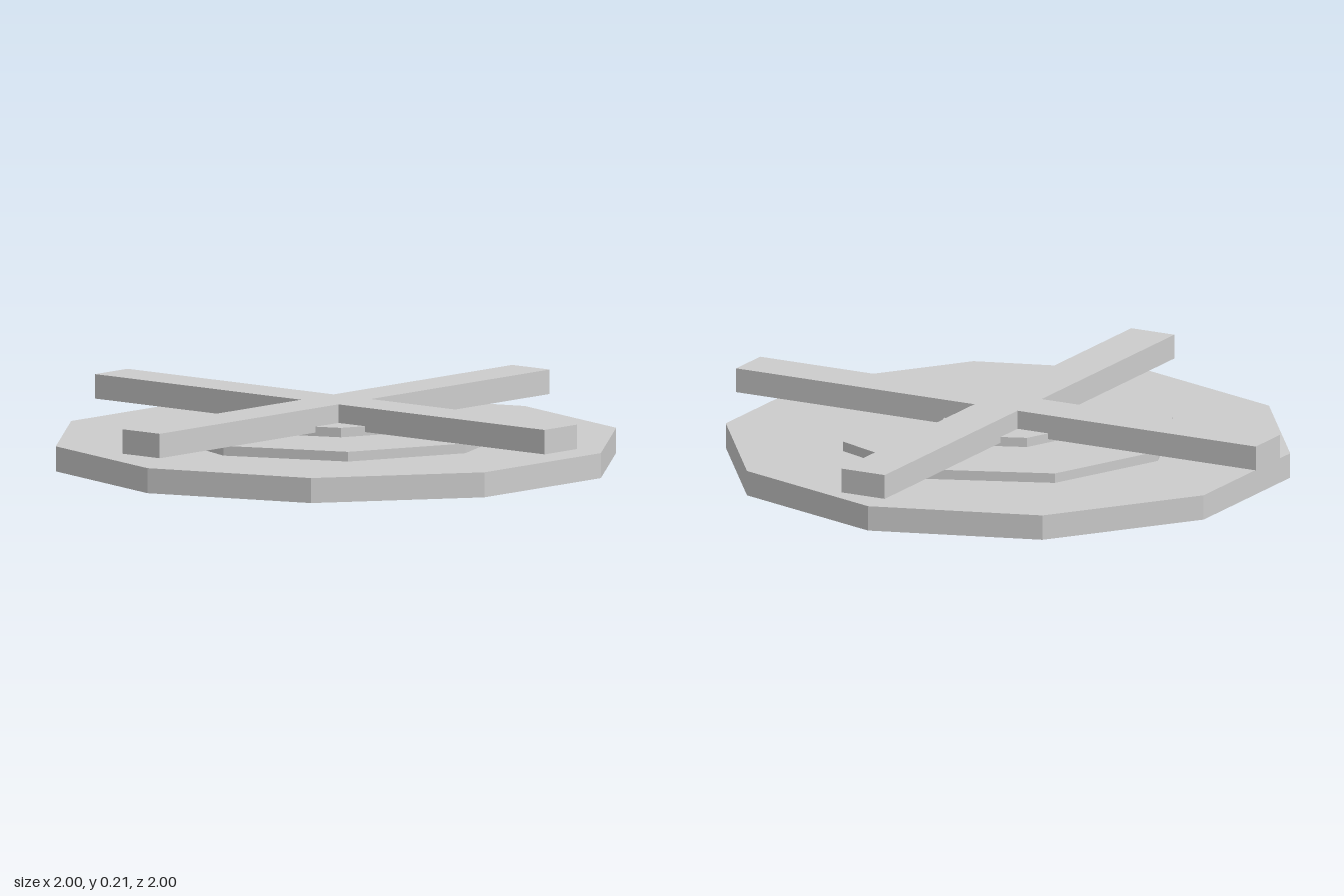
import * as THREE from 'three';

export function createModel() {
  const group = new THREE.Group();
  group.name = 'tieredDiscWithCross';
  const grey = new THREE.MeshStandardMaterial({ color: 0xcccccc, flatShading: true });
  grey.name = 'light grey';

  const add = (name, geometry, y) => {
    const mesh = new THREE.Mesh(geometry, grey);
    mesh.name = name;
    mesh.position.y = y;
    group.add(mesh);
  };

  // Stacked polygonal tiers, each with a corner on the z axis
  const tiers = [
    ['base', 0.967, 10, 0, 0.085],
    ['middleStep', 0.577, 8, 0.085, 0.118],
    ['hub', 0.235, 8, 0.118, 0.15],
  ];
  for (const [name, radius, sides, bottom, top] of tiers) {
    add(name, new THREE.CylinderGeometry(radius, radius, top - bottom, sides), (bottom + top) / 2);
  }

  // Cross of two equal bars, raised clear of the middle step
  const w = 0.083;
  const points = [];
  for (let i = 0; i < 4; i++) {
    for (const [x, y] of [[1, -w], [1, w], [w, w]]) {
      points.push(new THREE.Vector2(x, y).rotateAround(new THREE.Vector2(), i * Math.PI / 2));
    }
  }
  const cross = new THREE.ExtrudeGeometry(new THREE.Shape(points), { depth: 0.083, bevelEnabled: false });
  cross.rotateX(-Math.PI / 2);
  add('crossBars', cross, 0.13);

  return group;
}
